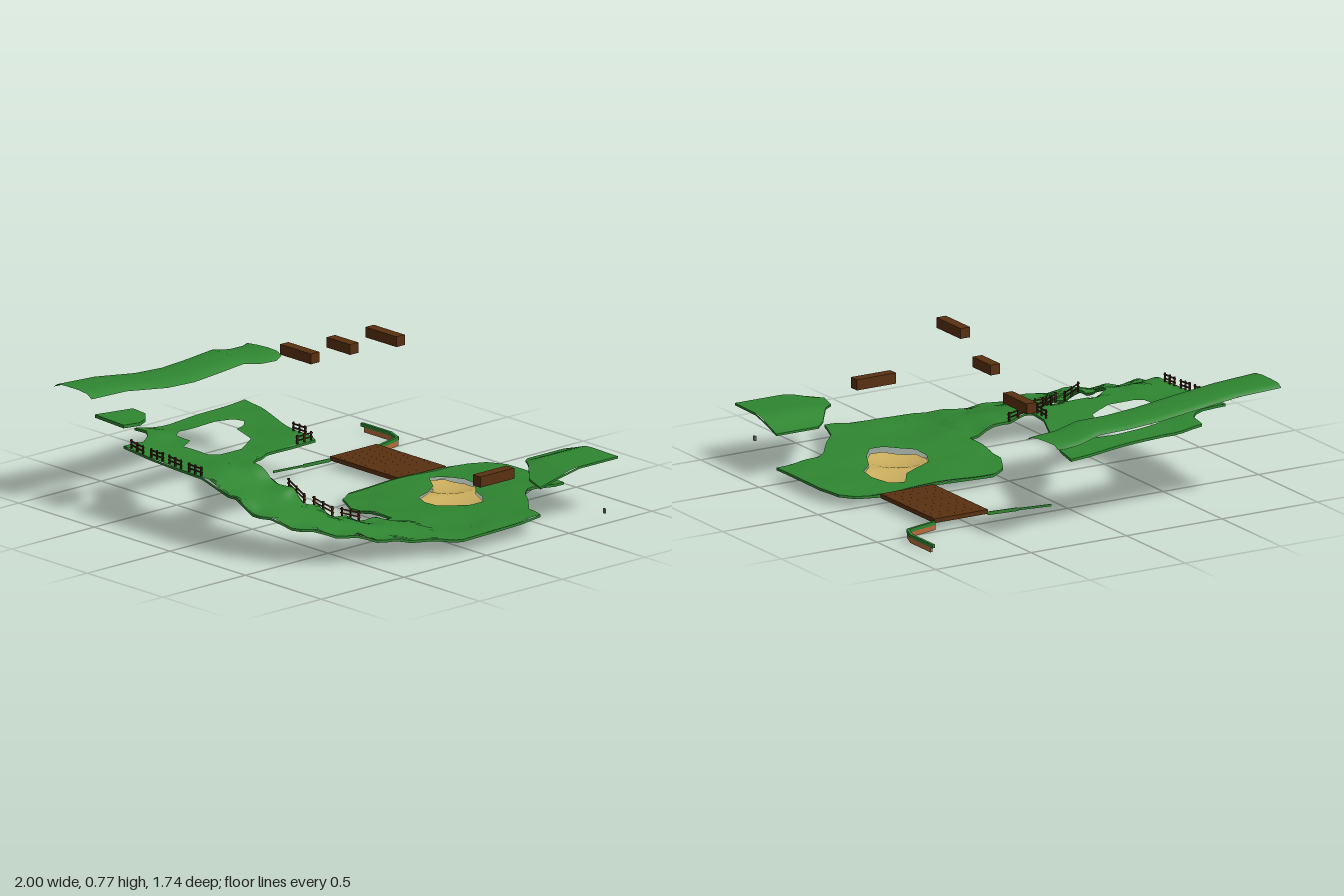
import * as THREE from 'three';

const mat = (name, color, double = false) => {
  const m = new THREE.MeshStandardMaterial({ color });
  m.name = name;
  if (double) m.side = THREE.DoubleSide;
  return m;
};
const V = (x, z) => new THREE.Vector2(x, z);
const pairs = (a) => a.map(([x, z]) => V(x, z));

// Spot heights of the course: x, z, y
const SPOTS = [
  [-.74, -.13, .31], [-.4, 0, .315], [-.08, .08, .33], [-.02, .1, .33], [-.01, .35, .33], [-.67, .4, .32],
  [-.4, .55, .33], [-.3, .84, .335], [-.48, .84, .35], [-.55, .63, .35], [0, .7, .335], [.05, .54, .33],
  [.08, .85, .325], [.27, .54, .27], [.22, .85, .28], [.38, .5, .2], [.4, .82, .215], [.45, .4, .14],
  [.58, .73, .175], [.49, .27, .105], [.7, .57, .14], [.78, .4, .105], [.83, .25, .085], [.46, .08, .07],
  [.92, .07, .07], [.18, .07, .05], [0, -.09, .045], [0, -.69, .045], [.3, -.8, .06], [.55, -.88, .06],
  [.55, -.66, .075], [.75, -.5, .08], [.92, -.4, .09], [.92, -.2, .075], [.7, -.1, .06], [.3, -.1, .06],
  [.3, -.4, .052],
];
// Distance-weighted height; the upper deck and lower green do not mix across the gap
function courseY(x, z) {
  const highOnly = x < -.015, lowOnly = !highOnly && z < .085;
  let sum = 0, total = 0;
  for (const [px, pz, py] of SPOTS) {
    if ((highOnly && py < .2) || (lowOnly && py > .2)) continue;
    const w = 1 / (Math.pow((px - x) ** 2 + (pz - z) ** 2, 1.5) + 1e-6);
    sum += w * py;
    total += w;
  }
  return sum / total;
}

// Triangulated outline, subdivided and lifted by a height rule, with a short skirt
function terrain(name, outline, holes, height, material, skirt = 0, levels = 4) {
  const contour = pairs(outline), cuts = holes.map(pairs);
  const all = [...contour, ...cuts.flat()];
  const pos = [], nor = [], e = .015;
  const put = (p) => {
    pos.push(p.x, height(p.x, p.y), p.y);
    const dx = (height(p.x + e, p.y) - height(p.x - e, p.y)) / (2 * e);
    const dz = (height(p.x, p.y + e) - height(p.x, p.y - e)) / (2 * e);
    const n = new THREE.Vector3(-dx, 1, -dz).normalize();
    nor.push(n.x, n.y, n.z);
  };
  const mid = (a, b) => a.clone().add(b).multiplyScalar(.5);
  const split = (a, b, c, n) => {
    if (n === 0) return [a, b, c].forEach(put);
    const ab = mid(a, b), bc = mid(b, c), ca = mid(c, a);
    split(a, ab, ca, n - 1); split(ab, b, bc, n - 1);
    split(ca, bc, c, n - 1); split(ab, bc, ca, n - 1);
  };
  for (const [i, j, k] of THREE.ShapeUtils.triangulateShape(contour, cuts)) {
    const [a, b, c] = [all[i], all[j], all[k]];
    const up = (b.x - a.x) * (c.y - a.y) - (b.y - a.y) * (c.x - a.x) < 0;
    up ? split(a, b, c, levels) : split(a, c, b, levels);
  }
  // Skirt hanging from the outer edge, facing outwards
  const cw = THREE.ShapeUtils.area(contour) < 0;
  if (skirt) contour.forEach((p, i) => {
    let a = p, b = contour[(i + 1) % contour.length];
    if (cw) [a, b] = [b, a];
    const len = a.distanceTo(b) || 1, nx = (b.y - a.y) / len, nz = -(b.x - a.x) / len;
    for (let s = 0; s < 4; s++) {
      const p0 = a.clone().lerp(b, s / 4), p1 = a.clone().lerp(b, (s + 1) / 4);
      const y0 = height(p0.x, p0.y), y1 = height(p1.x, p1.y);
      const A = [p0.x, y0, p0.y], B = [p1.x, y1, p1.y];
      const C = [p1.x, y1 - skirt, p1.y], D = [p0.x, y0 - skirt, p0.y];
      for (const q of [A, B, C, A, C, D]) { pos.push(...q); nor.push(nx, 0, nz); }
    }
  });
  const g = new THREE.BufferGeometry();
  g.setAttribute('position', new THREE.Float32BufferAttribute(pos, 3));
  g.setAttribute('normal', new THREE.Float32BufferAttribute(nor, 3));
  const mesh = new THREE.Mesh(g, material);
  mesh.name = name;
  return mesh;
}

function box(name, w, h, d, x, y, z, material) {
  const m = new THREE.Mesh(new THREE.BoxGeometry(w, h, d), material);
  m.name = name;
  m.position.set(x, y, z);
  return m;
}
// Square bar between two points
function bar(name, a, b, h, w, material) {
  const p = new THREE.Vector3(...a), q = new THREE.Vector3(...b);
  const m = box(name, w, h, p.distanceTo(q), 0, 0, 0, material);
  m.position.copy(p).lerp(q, .5);
  m.lookAt(q);
  return m;
}

export function createModel() {
  const root = new THREE.Group();
  root.name = 'golfCourse';
  const grass = mat('grass', 0x2f8631, true), sand = mat('sand', 0xcbae5e, true);
  const wood = mat('wood', 0x5a3010), fenceWood = mat('fenceWood', 0x40220f);
  const rock = mat('rock', 0x7c7c7c, true), earth = mat('earth', 0xb86a3c);

  // Main course with the bunker opening and the upper hole
  const bunker = [[.08, -.5], [.11, -.56], [.21, -.59], [.3, -.575], [.38, -.5], [.48, -.45], [.55, -.39],
    [.55, -.32], [.45, -.21], [.36, -.21], [.28, -.25], [.24, -.34], [.19, -.42], [.1, -.48]];
  const pit = [[-.53, .13], [-.48, .11], [-.43, .16], [-.4, .23], [-.24, .29], [-.2, .35], [-.15, .43],
    [-.15, .56], [-.18, .6], [-.34, .605], [-.39, .52], [-.48, .52], [-.52, .47], [-.55, .22]];
  const course = [[-.74, -.13], [-.6, -.1], [-.4, -.02], [-.2, .06], [-.08, .07], [-.02, .1], [-.016, .4],
    [0, .47], [.05, .54], [.27, .54], [.38, .5], [.45, .4], [.49, .27], [.46, .08], [.18, .07], [.05, 0],
    [-.01, -.09], [-.01, -.69], [.02, -.79], [.07, -.85], [.18, -.88], [.55, -.88], [.55, -.66], [.59, -.61],
    [.71, -.52], [.8, -.44], [.92, -.4], [.92, .07], [.83, .25], [.78, .4], [.7, .57], [.58, .73], [.4, .82],
    [.22, .85], [-.48, .84], [-.48, .72], [-.52, .66], [-.58, .61], [-.67, .6], [-.66, .4], [-.7, .1]];
  root.add(terrain('course', course, [bunker, pit], courseY, grass, .012));
  root.add(terrain('bunkerSand', bunker, [], (x, z) => {
    const d = Math.min((x - .2) ** 2 + (z + .5) ** 2, (x - .42) ** 2 + (z + .33) ** 2);
    return .027 + Math.min(.02, d * 1.1);
  }, sand));

  // Rock patches beneath the course rim
  const patches = [
    [[.56, .72], [.7, .55], [.78, .38], [.68, .38], [.57, .56]],
    [[.9, .06], [.91, -.05], [.91, -.28], [.82, -.22], [.81, -.02]],
    [[.56, -.68], [.6, -.6], [.72, -.5], [.66, -.42], [.54, -.54]],
  ];
  for (const p of patches) root.add(terrain('rockPatch', p, [], (x, z) => courseY(x, z) - .007, rock, 0, 3));

  // Raised corner bank and small upper ledge
  const ease = (t) => THREE.MathUtils.smoothstep(t, 0, 1);
  root.add(terrain('cornerBank',
    [[.55, -.88], [.55, -.66], [.59, -.61], [.71, -.52], [.8, -.44], [.92, -.4], [.92, -.87]], [],
    (x, z) => .215 + .05 * ease((x - .53) / .2) * ease((-.38 - z) / .25), grass, .01));
  root.add(terrain('upperLedge',
    [[-.67, .61], [-.58, .615], [-.52, .67], [-.48, .74], [-.48, .84], [-.67, .84]], [],
    (x, z) => .437 + .08 * (z - .62) - .04 * (x + .67), grass, .015, 3));

  // Long raised side strip: z, left x, right x, y
  const sections = [[-.38, -1, -.78, .475], [-.33, -.995, -.75, .47], [-.24, -.985, -.75, .475], [-.12, -.97, -.74, .5],
    [.05, -.95, -.72, .495], [.22, -.925, -.69, .497], [.4, -.91, -.67, .512], [.64, -.915, -.68, .543],
    [.86, -.92, -.67, .553]];
  const across = [[0, -.02], [.1, -.003], [.35, 0], [.65, 0], [.88, -.006], [1, -.024]];
  const sp = [], si = [];
  sections.forEach(([z, l, r, y], i) => across.forEach(([u, d], j) => {
    sp.push(l + (r - l) * u, y + d, z + (i === 0 ? .02 - .03 * u : 0));
    const a = i * across.length + j, b = a + across.length;
    if (i < sections.length - 1 && j < across.length - 1) si.push(a, b, a + 1, a + 1, b, b + 1);
  }));
  const strip = new THREE.BufferGeometry();
  strip.setAttribute('position', new THREE.Float32BufferAttribute(sp, 3));
  strip.setIndex(si);
  strip.computeVertexNormals();
  const stripMesh = new THREE.Mesh(strip, grass);
  stripMesh.name = 'sideStrip';
  root.add(stripMesh);

  // Plank bridge
  for (let i = 0; i < 11; i++) root.add(box('bridgePlank', .0415, .02, .28, -.449 + i * .0418, .04, -.54, wood));

  // Thin river banks: grass lip over earth
  const bank = [[-.78, -.875], [-.59, -.875], [-.512, -.845], [-.47, -.68]];
  for (let i = 0; i < 3; i++) {
    const [a, b] = [bank[i], bank[i + 1]];
    root.add(bar('bankGrass', [a[0], .032, a[1]], [b[0], .032, b[1]], .016, .014, grass));
    root.add(bar('bankEarth', [a[0] + (i ? 0 : .02), .012, a[1]], [b[0], .012, b[1]], .024, .01, earth));
  }
  const lip = [[-.47, -.4], [-.485, -.25], [-.508, -.09]];
  for (let i = 0; i < 2; i++)
    root.add(bar('bankLip', [lip[i][0], .032, lip[i][1]], [lip[i + 1][0], .032, lip[i + 1][1]], .016 - i * .006, .004, grass));

  // Floating beams and a small stone
  for (const [x, y, w] of [[-.532, .543, .205], [-.248, .645, .155], [.033, .75, .205]])
    root.add(box('floatingBeam', w, .048, .05, x, y, -.272, wood));
  root.add(box('floatingBeam', .05, .05, .205, .83, .288, -.198, wood));
  root.add(box('stone', .014, .022, .008, .993, .058, -.72, rock));

  // Fence panels that follow the ground
  const panels = [
    [-.44, .835, -.35, .835], [-.31, .835, -.22, .835], [-.19, .835, -.1, .835], [-.06, .835, .035, .835],
    [-.2, .075, -.1, .083], [-.03, .11, -.03, .21],
    [.27, .535, .36, .508], [.385, .49, .44, .41], [.455, .385, .483, .29],
  ];
  for (const [x0, z0, x1, z1] of panels) {
    const panel = new THREE.Group();
    panel.name = 'fencePanel';
    const y0 = courseY(x0, z0), y1 = courseY(x1, z1), L = THREE.MathUtils.lerp;
    for (const t of [.08, .5, .92])
      panel.add(box('fencePost', .007, .045, .007, L(x0, x1, t), L(y0, y1, t) + .02, L(z0, z1, t), fenceWood));
    for (const h of [.016, .034])
      panel.add(bar('fenceRail', [x0, y0 + h, z0], [x1, y1 + h, z1], .006, .005, fenceWood));
    root.add(panel);
  }
  return root;
}
